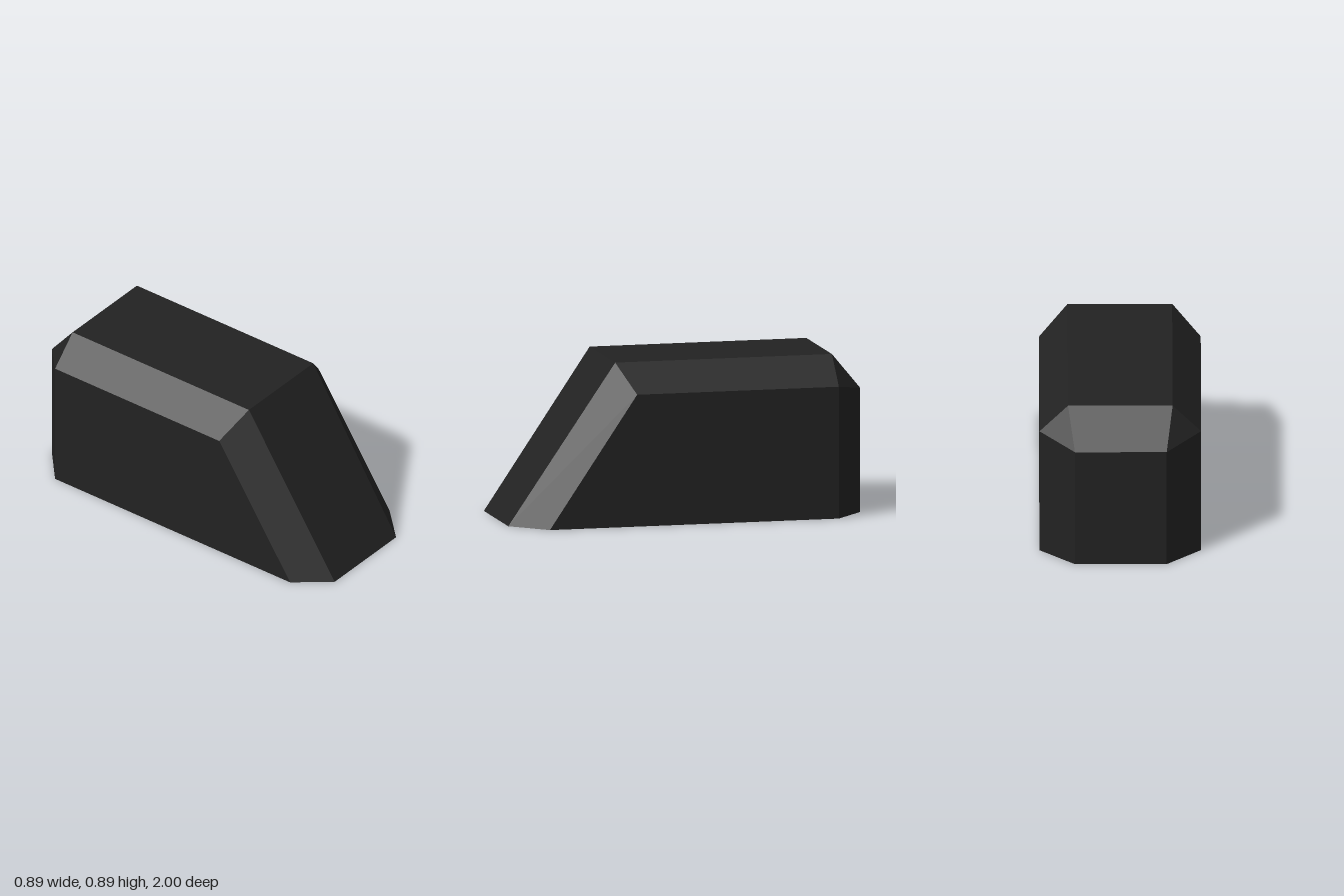
import * as THREE from 'three';

const charcoal = new THREE.MeshStandardMaterial({ color: 0x222222, side: THREE.DoubleSide });
charcoal.name = 'charcoal';

// Flat-shaded mesh from convex faces, each a list of corner points (counter-clockwise from outside)
function panels(name, faces) {
  const pos = [];
  for (const f of faces) {
    for (let i = 1; i < f.length - 1; i++) pos.push(...f[0], ...f[i], ...f[i + 1]);
  }
  const geo = new THREE.BufferGeometry();
  geo.setAttribute('position', new THREE.Float32BufferAttribute(pos, 3));
  geo.computeVertexNormals();
  const mesh = new THREE.Mesh(geo, charcoal);
  mesh.name = name;
  return mesh;
}

export function createModel() {
  const model = new THREE.Group();
  model.name = 'hollowCover';

  // Open lower rim and upper rim, both from the front left corner round the back
  const rim = [
    [0.26, 0, 1], [0.445, 0, 0.81], [0.445, 0, -0.83], [0.25, 0, -1],
    [-0.255, 0, -1], [-0.445, 0, -0.83], [-0.445, 0, 0.81], [-0.29, 0, 1],
  ];
  const shoulder = [
    [0.288, 0.893, 0.4], [0.445, 0.735, 0.315], [0.445, 0.735, -0.83], [0.25, 0.692, -1],
    [-0.255, 0.692, -1], [-0.445, 0.735, -0.83], [-0.445, 0.735, 0.315], [-0.288, 0.893, 0.4],
  ];

  // Walls: sloping front, sides, back and the corner chamfers
  const names = ['leftFrontChamfer', 'leftWall', 'leftBackChamfer', 'backWall',
    'rightBackChamfer', 'rightWall', 'rightFrontChamfer', 'slopingFront'];
  names.forEach((name, i) => {
    const j = (i + 1) % 8;
    model.add(panels(name, [[rim[i], rim[j], shoulder[j], shoulder[i]]]));
  });

  // Roof with bevels down to the sides and back
  const [fl, sl, bl, el, er, br, sr, fr] = shoulder;
  const tl = [0.288, 0.893, -0.83];
  const tr = [-0.288, 0.893, -0.83];
  model.add(panels('roof', [[fl, tl, tr, fr]]));
  model.add(panels('sideBevels', [[fl, sl, bl, tl], [fr, tr, br, sr]]));
  model.add(panels('backBevel', [[tl, el, er, tr], [tl, bl, el], [tr, er, br]]));

  return model;
}
